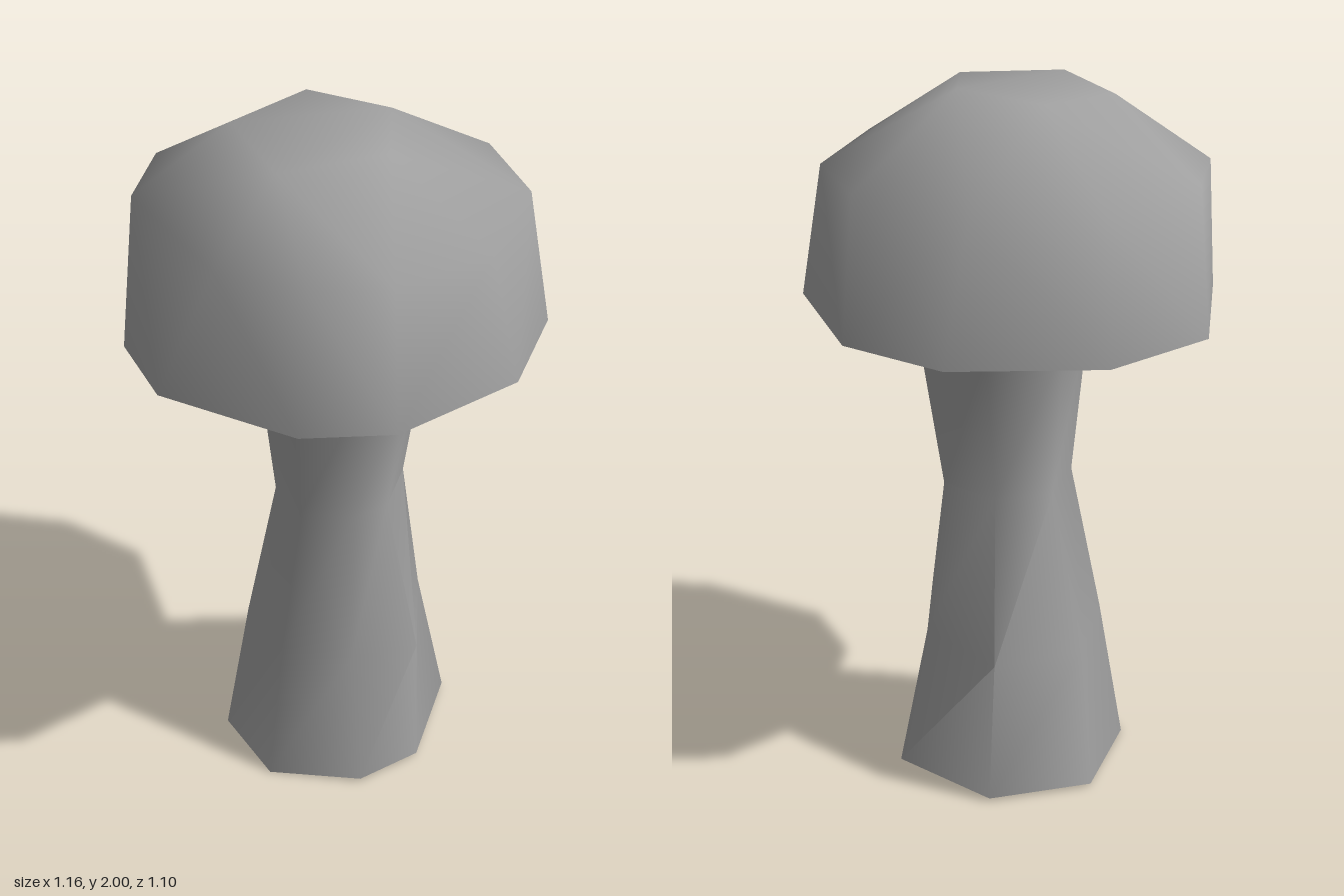
import * as THREE from 'three';
import { mergeVertices, toCreasedNormals } from 'three/addons/utils/BufferGeometryUtils.js';
import { ConvexGeometry } from 'three/addons/geometries/ConvexGeometry.js';

// Stem cross-sections as [x, z] corners, turning the same way
const BASE = [[0.33, 0.12], [0.27, -0.21], [0, -0.34], [-0.28, -0.17], [-0.32, 0.09], [-0.14, 0.29], [0.06, 0.31]];
const SWELL = [[0.255, 0.08], [0.25, -0.21], [0, -0.3], [-0.22, -0.13], [-0.25, 0.07], [-0.13, 0.235], [0.05, 0.31]];
const scaled = (ring, s, dz) => ring.map(([x, z]) => [x * s, z * s + dz]);
const atHeight = (ring, y) => ring.map(([x, z]) => new THREE.Vector3(x, y, z));

function loft(rings) {
  const n = rings[0].length;
  const index = [];
  for (let r = 0; r < rings.length - 1; r++) {
    for (let i = 0; i < n; i++) {
      const j = (i + 1) % n, lo = r * n, up = lo + n;
      index.push(lo + i, lo + j, up + j, lo + i, up + j, up + i);
    }
  }
  // closed underside
  for (let i = 1; i < n - 1; i++) index.push(0, i + 1, i);
  const geometry = new THREE.BufferGeometry().setFromPoints(rings.flat());
  geometry.setIndex(index);
  return toCreasedNormals(geometry, 1.15);
}

export function createModel() {
  const model = new THREE.Group();
  model.name = 'mushroom';
  const grey = new THREE.MeshStandardMaterial({ color: 0xa0a0a0 });
  grey.name = 'grey';

  // Stem: seven-sided, pinched at the waist
  const stemTop = atHeight(scaled(BASE, 0.72, 0.035), 1.32);
  const foot = atHeight(BASE, 0.01);
  foot[3].y = foot[4].y = 0;
  const stem = new THREE.Mesh(loft([
    foot,
    atHeight(SWELL, 0.43),
    atHeight(scaled(BASE, 0.55, 0.02), 0.87),
    stemTop,
  ]), grey);
  stem.name = 'stem';

  // Cap: convex dome over a slightly tapering underside
  const rim = [[-0.2, -0.55], [0.15, -0.55], [0.49, -0.3], [0.58, 0], [0.43, 0.38],
    [0.16, 0.55], [-0.23, 0.53], [-0.43, 0.38], [-0.58, -0.01], [-0.51, -0.26]];
  const shoulder = [[-0.23, -0.475], [0.13, -0.505], [0.41, -0.305], [0.5, 0.05], [0.4, 0.32],
    [0.1, 0.5], [-0.2, 0.475], [-0.37, 0.35], [-0.49, 0.13], [-0.42, -0.32]];
  const crown = [[0.15, 0.05, 2], [0, 0.22, 1.985], [-0.27, 0.1, 1.97], [-0.19, -0.19, 1.975], [0.06, -0.19, 1.99]];
  const capGeometry = new ConvexGeometry([
    ...stemTop.map((p) => p.clone().setY(1.315)),
    ...rim.map(([x, z]) => new THREE.Vector3(x, 1.4 + 0.015 * x + 0.01 * z, z)),
    ...atHeight(shoulder, 1.785),
    ...crown.map(([x, z, y]) => new THREE.Vector3(x, y, z)),
  ]);
  capGeometry.deleteAttribute('normal');
  const cap = new THREE.Mesh(toCreasedNormals(mergeVertices(capGeometry), 1.15), grey);
  cap.name = 'cap';

  model.add(stem, cap);
  return model;
}
